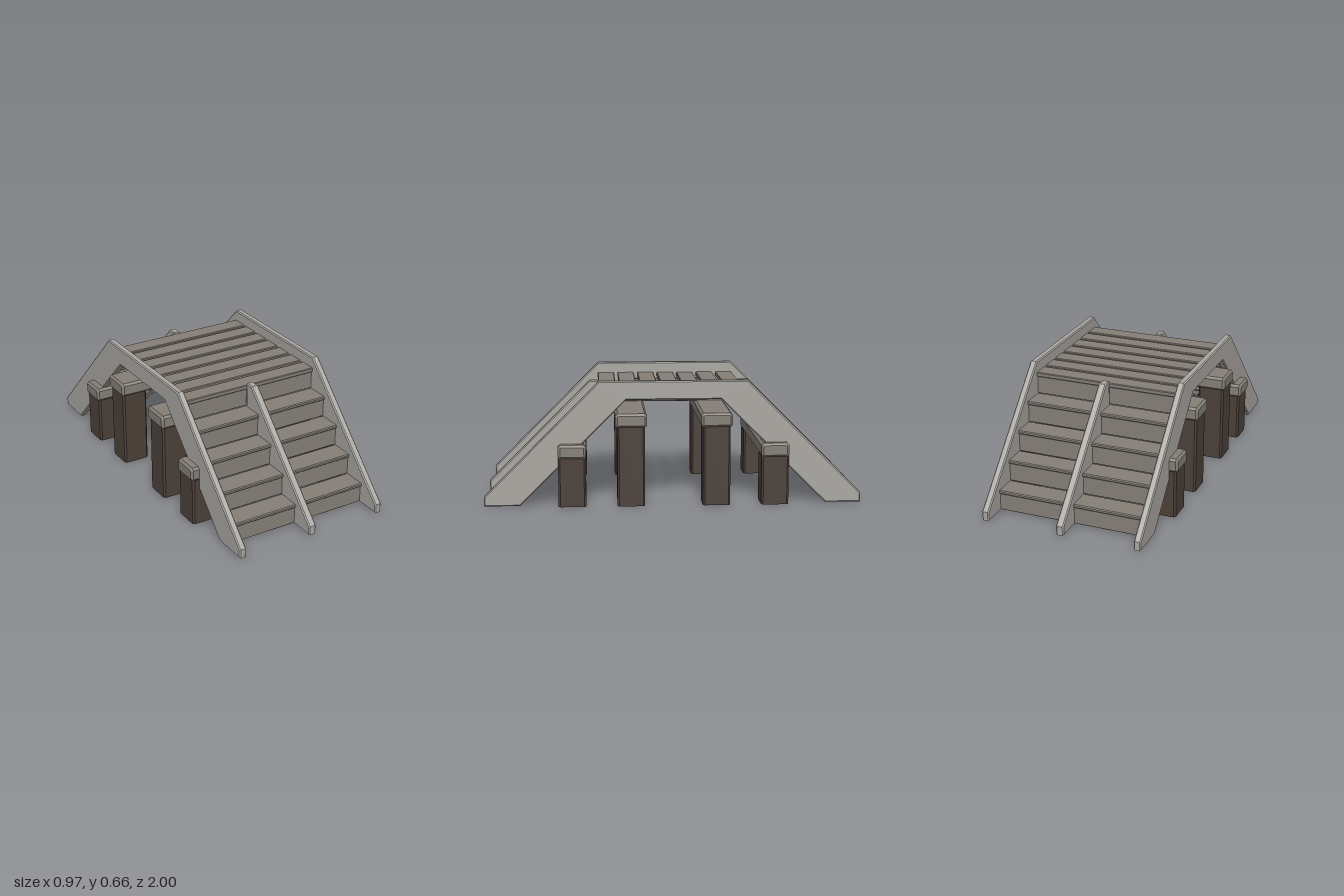
import * as THREE from 'three';

const paint = (name, hex) => {
  const m = new THREE.MeshStandardMaterial({ color: hex });
  m.name = name;
  return m;
};

export function createModel() {
  const root = new THREE.Group();
  root.name = 'woodenFootbridge';
  const greyWood = paint('weathered grey wood', 0xaaa7a2);
  const brownWood = paint('faded brown wood', 0x857f77);
  const darkWood = paint('dark post wood', 0x4b4039);

  const add = (geometry, material, name) => {
    const mesh = new THREE.Mesh(geometry, material);
    mesh.name = name;
    root.add(mesh);
    return mesh;
  };

  // Slab cut from a (z, y) outline, spanning x0..x1, with chamfered faces
  const slab = (points, x0, x1, bevel) => {
    const shape = new THREE.Shape(points.map(([z, y]) => new THREE.Vector2(-z, y)));
    const g = new THREE.ExtrudeGeometry(shape, {
      depth: x1 - x0 - 2 * bevel, bevelEnabled: true, bevelSegments: 1,
      bevelSize: bevel, bevelThickness: bevel, bevelOffset: -bevel,
    });
    g.translate(0, 0, x0 + bevel);
    g.rotateY(Math.PI / 2); // outline turns into the z-y plane, depth runs along x
    return g;
  };

  // Box with every edge chamfered
  const timber = (x0, x1, y0, y1, z0, z1, c) => slab([
    [z0 + c, y0], [z1 - c, y0], [z1, y0 + c], [z1, y1 - c],
    [z1 - c, y1], [z0 + c, y1], [z0, y1 - c], [z0, y0 + c],
  ], x0, x1, c);

  // Arched side stringers
  const arch = [[1, 0], [1, 0.05], [0.39, 0.66], [-0.39, 0.66], [-1, 0.05],
    [-1, 0], [-0.81, 0], [-0.25, 0.56], [0.25, 0.56], [0.81, 0]];
  add(slab(arch, 0.4, 0.438, 0.006), greyWood, 'leftStringer');
  add(slab(arch, -0.438, -0.4, 0.006), greyWood, 'rightStringer');

  // Joist under the middle of the deck
  add(timber(-0.018, 0.018, 0.49, 0.577, -0.39, 0.39, 0.004), brownWood, 'deckJoist');

  // Deck planks with gaps
  for (let i = -3; i <= 3; i++) {
    const z = i * 0.115;
    add(timber(-0.41, 0.41, 0.575, 0.6, z - 0.048, z + 0.048, 0.004), brownWood, 'deckPlank');
  }

  for (const s of [1, -1]) {
    const end = s > 0 ? 'front' : 'back';
    const span = (a, b) => [Math.min(s * a, s * b), Math.max(s * a, s * b)];

    // Middle stringer of the stair
    const mid = [[1, 0], [1, 0.05], [0.44, 0.61], [0.39, 0.61], [0.39, 0.42], [0.81, 0]];
    add(slab(mid.map(([z, y]) => [s * z, y]), -0.021, 0.021, 0.006), greyWood, end + 'MiddleStringer');

    // Risers and treads
    for (let i = 0; i < 5; i++) {
      const z = 0.865 - i * 0.12;
      const top = 0.118 + i * 0.12;
      add(timber(-0.41, 0.41, i ? top - 0.12 : 0.005, top - 0.018, ...span(z - 0.018, z), 0.002),
        brownWood, end + 'Riser');
      if (i < 4) {
        add(timber(-0.41, 0.41, top - 0.02, top, ...span(z - 0.122, z + 0.01), 0.005),
          brownWood, end + 'Tread');
      }
    }

    // Cross beams, each on a pair of posts
    for (const [z, top, depth] of [[0.225, 0.493, 0.166], [0.535, 0.33, 0.148]]) {
      add(timber(-0.484, 0.484, top - 0.075, top, s * z - depth / 2, s * z + depth / 2, 0.012),
        brownWood, end + 'CrossBeam');
      for (const side of [1, -1]) {
        const height = top - 0.07;
        const h = 0.0725, c = 0.01;
        const section = new THREE.Shape([
          [-h + c, -h], [h - c, -h], [h, -h + c], [h, h - c],
          [h - c, h], [-h + c, h], [-h, h - c], [-h, -h + c],
        ].map(([x, y]) => new THREE.Vector2(x, y)));
        const g = new THREE.ExtrudeGeometry(section, { depth: height, bevelEnabled: false });
        g.rotateX(-Math.PI / 2);
        add(g, darkWood, end + 'Post').position.set(side * 0.402, 0, s * z);
      }
    }
  }
  return root;
}
